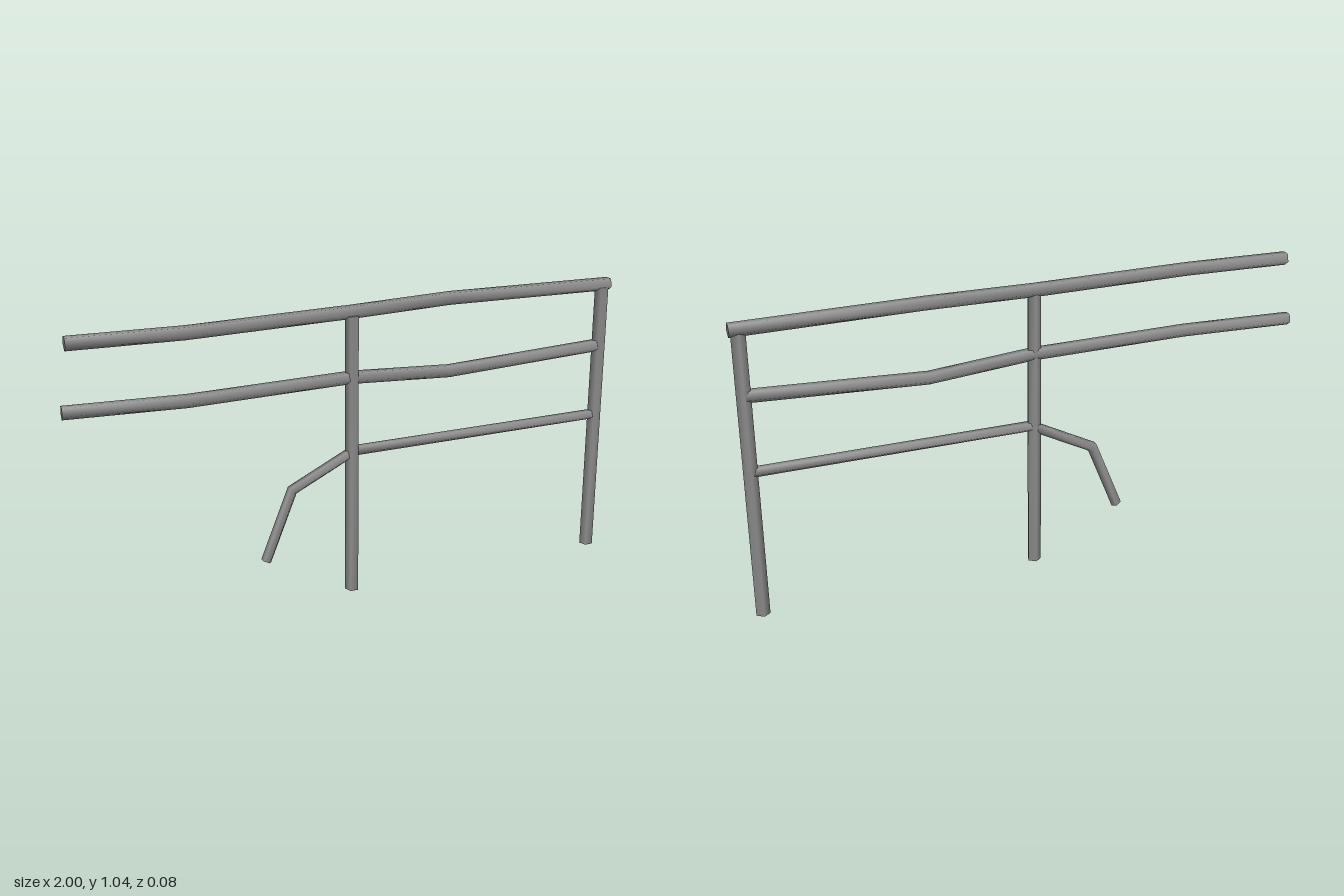
import * as THREE from 'three';

const SIDES = 5;
const material = new THREE.MeshStandardMaterial({ color: 0x8c8c8c });

// Five-sided pipe with smooth walls, mitred bends and flat closed ends, swept along points
function pipe(name, path, radius, ref = new THREE.Vector3(0, 1, 0)) {
  const pts = path.map(p => new THREE.Vector3(...p));
  const dirs = pts.slice(1).map((p, i) => p.clone().sub(pts[i]).normalize());
  const pos = [], idx = [];
  pts.forEach((p, i) => {
    const before = dirs[Math.max(i - 1, 0)];
    const after = dirs[Math.min(i, dirs.length - 1)];
    const t = before.clone().add(after).normalize();
    const u = t.clone().cross(ref).normalize();
    const v = u.clone().cross(t);
    const mitre = 1 / t.dot(after);
    for (let j = 0; j < SIDES; j++) {
      const a = -Math.PI / 2 + (j / SIDES) * Math.PI * 2;
      const q = p.clone()
        .addScaledVector(u, Math.cos(a) * radius)
        .addScaledVector(v, Math.sin(a) * radius * mitre);
      pos.push(q.x, q.y, q.z);
    }
  });
  // Walls
  for (let i = 0; i < dirs.length; i++) {
    for (let j = 0; j < SIDES; j++) {
      const a = i * SIDES + j, b = i * SIDES + (j + 1) % SIDES;
      idx.push(a, a + SIDES, b, b, a + SIDES, b + SIDES);
    }
  }
  // End caps on their own corners, so their edges stay sharp
  const s = pts.length * SIDES, e = s + SIDES;
  pos.push(...pos.slice(0, SIDES * 3), ...pos.slice(-SIDES * 3));
  for (let j = 1; j < SIDES - 1; j++) idx.push(s, s + j, s + j + 1, e, e + j + 1, e + j);

  const geometry = new THREE.BufferGeometry();
  geometry.setAttribute('position', new THREE.Float32BufferAttribute(pos, 3));
  geometry.setIndex(idx);
  geometry.computeVertexNormals();
  const mesh = new THREE.Mesh(geometry, material);
  mesh.name = name;
  return mesh;
}

export function createModel() {
  const group = new THREE.Group();
  group.name = 'bentRailing';
  const front = new THREE.Vector3(0, 0, 1);

  // Upright posts
  group.add(pipe('middlePost', [[-0.017, 0, 0], [-0.017, 1.005, 0.004]], 0.025, front));
  group.add(pipe('endPost', [[0.968, 0, 0], [0.968, 1.005, 0]], 0.025, front));

  // Slightly bent long rails
  group.add(pipe('topRail', [
    [-0.978, 1.016, -0.008], [-0.6, 1.014, 0.016], [-0.017, 1.016, -0.003],
    [0.36, 1.023, -0.013], [0.998, 1.014, -0.004],
  ], 0.025));
  group.add(pipe('middleRail', [
    [-1, 0.791, -0.019], [-0.6, 0.788, 0.017], [-0.017, 0.789, 0],
    [0.36, 0.763, -0.009], [0.968, 0.789, 0],
  ], 0.024));

  // Thin lower rail between the posts
  group.add(pipe('lowerRail', [[-0.017, 0.524, 0], [0.968, 0.524, 0]], 0.019));

  // Broken lower rail hanging from the middle post
  group.add(pipe('hangingRail', [
    [-0.017, 0.52, 0], [-0.236, 0.41, -0.009], [-0.338, 0.165, -0.005],
  ], 0.019));

  return group;
}
